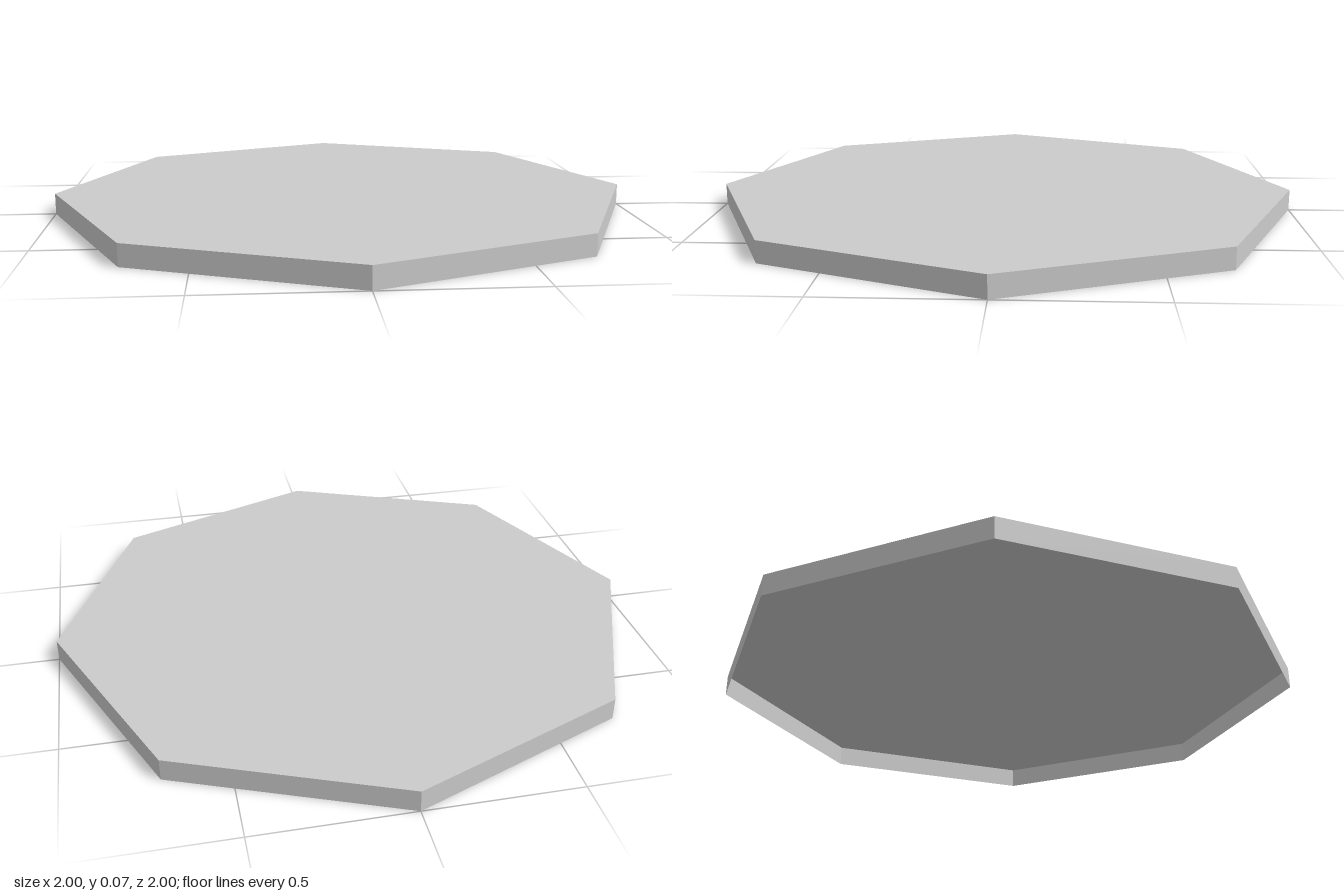
import * as THREE from 'three';

const HEIGHT = 0.072;

export function createModel() {
  const model = new THREE.Group();
  model.name = 'octagonalPlate';
  const material = new THREE.MeshStandardMaterial({
    color: 0xcccccc, flatShading: true, side: THREE.DoubleSide,
  });

  const add = (name, geometry, x, y, z) => {
    const mesh = new THREE.Mesh(geometry, material);
    mesh.name = name;
    mesh.position.set(x, y, z);
    model.add(mesh);
  };

  // Rim: eight thin walls, open underneath
  add('rim', new THREE.CylinderGeometry(1, 1, HEIGHT, 8, 1, true), 0, HEIGHT / 2, 0);

  // Flat top panel
  add('topPanel', new THREE.CircleGeometry(1, 8).rotateX(-Math.PI / 2), 0, HEIGHT, 0);

  // Stepped diagonal patch, laid flat on the panel
  const s = 0.069;
  const outline = [
    [-2, -2], [0, -2], [0, -1], [1, -1], [1, 0], [2, 0],
    [2, 2], [0, 2], [0, 1], [-1, 1], [-1, 0], [-2, 0],
  ].map(([x, y]) => new THREE.Vector2(x * s, y * s));
  const patch = new THREE.ShapeGeometry(new THREE.Shape(outline)).rotateX(-Math.PI / 2);

  // One patch in the middle and a ring of eight around it
  const centres = [
    [-0.02, 0.01], [0.02, -0.61], [0.42, -0.4], [0.65, 0.03], [0.43, 0.45],
    [0.01, 0.66], [-0.41, 0.41], [-0.67, -0.02], [-0.44, -0.42],
  ];
  centres.forEach(([x, z], i) => add(`steppedPatch${i + 1}`, patch, x, HEIGHT + 0.001, z));

  return model;
}
